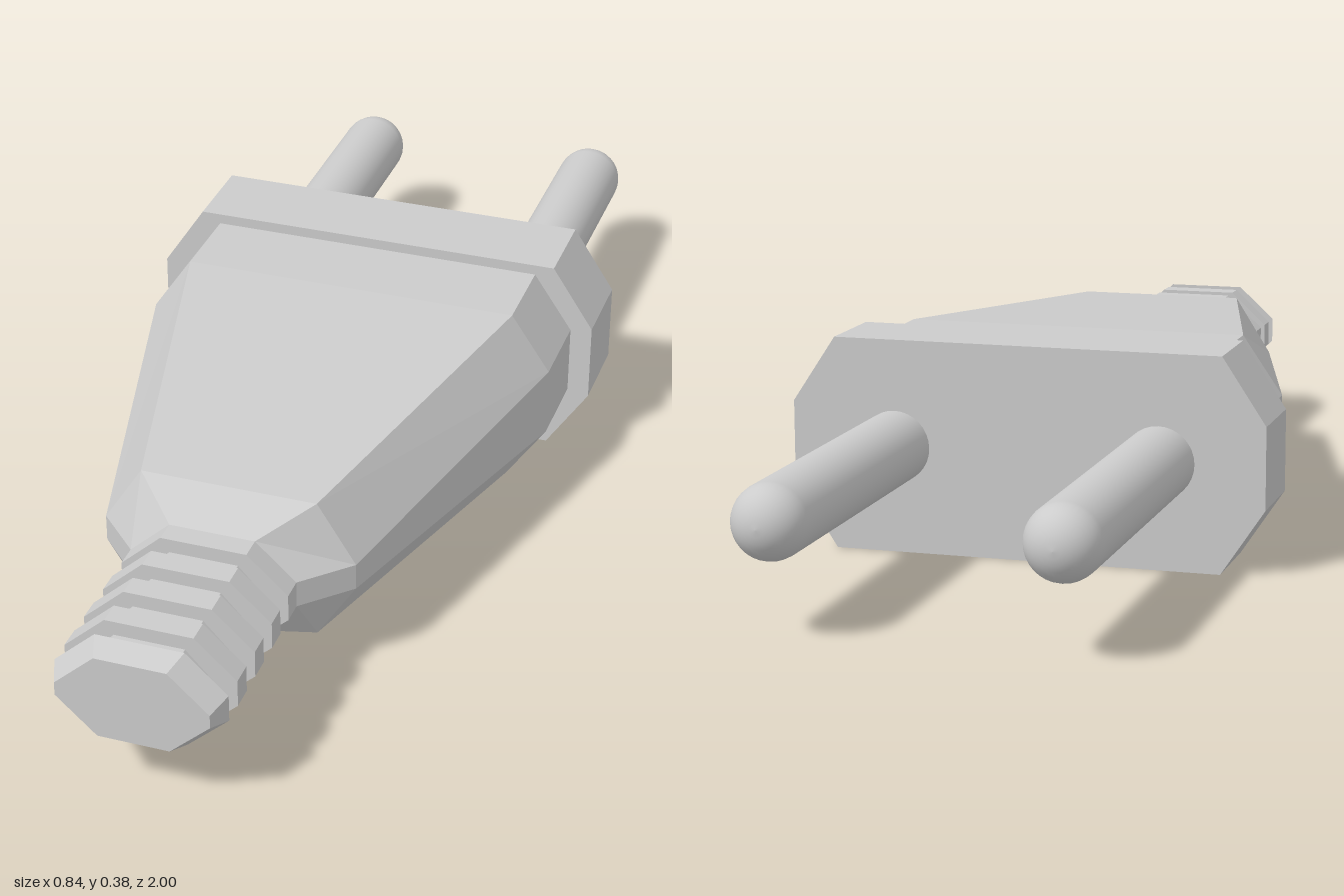
import * as THREE from 'three';

const MID = 0.188; // height of the long axis
const flat = new THREE.MeshStandardMaterial({ color: 0xcccccc, flatShading: true });
const smooth = new THREE.MeshStandardMaterial({ color: 0xcccccc });

// Elongated octagon: half width a, half height b, half top edge c, half side edge d
function octagon([z, a, b, c, d]) {
  return [[a, -d], [a, d], [c, b], [-c, b], [-a, d], [-a, -d], [-c, -b], [c, -b]]
    .map(([x, y]) => [x, y, z]);
}

// Skin a row of octagons ordered from back to front, closing both ends
function loft(name, sections) {
  const rings = sections.map(octagon);
  const pos = [];
  const tri = (...pts) => pts.forEach((p) => pos.push(...p));
  for (let s = 0; s < rings.length - 1; s++) {
    const A = rings[s], B = rings[s + 1];
    for (let i = 0; i < 8; i++) {
      const j = (i + 1) % 8;
      tri(A[i], A[j], B[j]);
      tri(A[i], B[j], B[i]);
    }
  }
  const back = rings[0], front = rings[rings.length - 1];
  for (let i = 1; i < 7; i++) {
    tri(back[0], back[i + 1], back[i]);
    tri(front[0], front[i], front[i + 1]);
  }
  const geo = new THREE.BufferGeometry();
  geo.setAttribute('position', new THREE.Float32BufferAttribute(pos, 3));
  geo.computeVertexNormals();
  const mesh = new THREE.Mesh(geo, flat);
  mesh.name = name;
  mesh.position.y = MID;
  return mesh;
}

// Round pin with a domed tip, pointing to the back
function pin(name, x) {
  const r = 0.063, length = 0.625;
  const profile = [new THREE.Vector2(r, 0)];
  for (let i = 0; i <= 8; i++) {
    const t = (i / 8) * Math.PI / 2;
    profile.push(new THREE.Vector2(r * Math.cos(t), length - r + r * Math.sin(t)));
  }
  const mesh = new THREE.Mesh(new THREE.LatheGeometry(profile, 32), smooth);
  mesh.name = name;
  mesh.rotation.x = -Math.PI / 2;
  mesh.position.set(x, MID, -0.375);
  return mesh;
}

export function createModel() {
  const plug = new THREE.Group();
  plug.name = 'plug';

  // Flange that meets the socket
  plug.add(loft('flange', [
    [-0.375, 0.422, 0.188, 0.345, 0.072],
    [-0.217, 0.422, 0.188, 0.345, 0.072],
  ]));

  // Tapering grip
  plug.add(loft('body', [
    [-0.217, 0.382, 0.169, 0.31, 0.064],
    [-0.06, 0.382, 0.169, 0.31, 0.064],
    [0.567, 0.223, 0.131, 0.155, 0.024],
    [0.645, 0.146, 0.09, 0.075, 0.024],
  ]));

  // Ribbed cable sleeve: four ribs with grooves between, and a bevelled end rib
  const rib = [0.146, 0.09, 0.075, 0.024], groove = [0.106, 0.065, 0.06, 0.015];
  const sections = [];
  for (let i = 0; i < 4; i++) {
    const z = 0.645 + i * 0.0785;
    sections.push([z, ...rib], [z + 0.04, ...rib], [z + 0.04, ...groove], [z + 0.0785, ...groove]);
  }
  sections.push([0.959, ...rib], [1, 0.13, 0.076, 0.061, 0.012]);
  plug.add(loft('cableSleeve', sections));

  // Contact pins
  plug.add(pin('leftPin', 0.236), pin('rightPin', -0.236));
  return plug;
}
